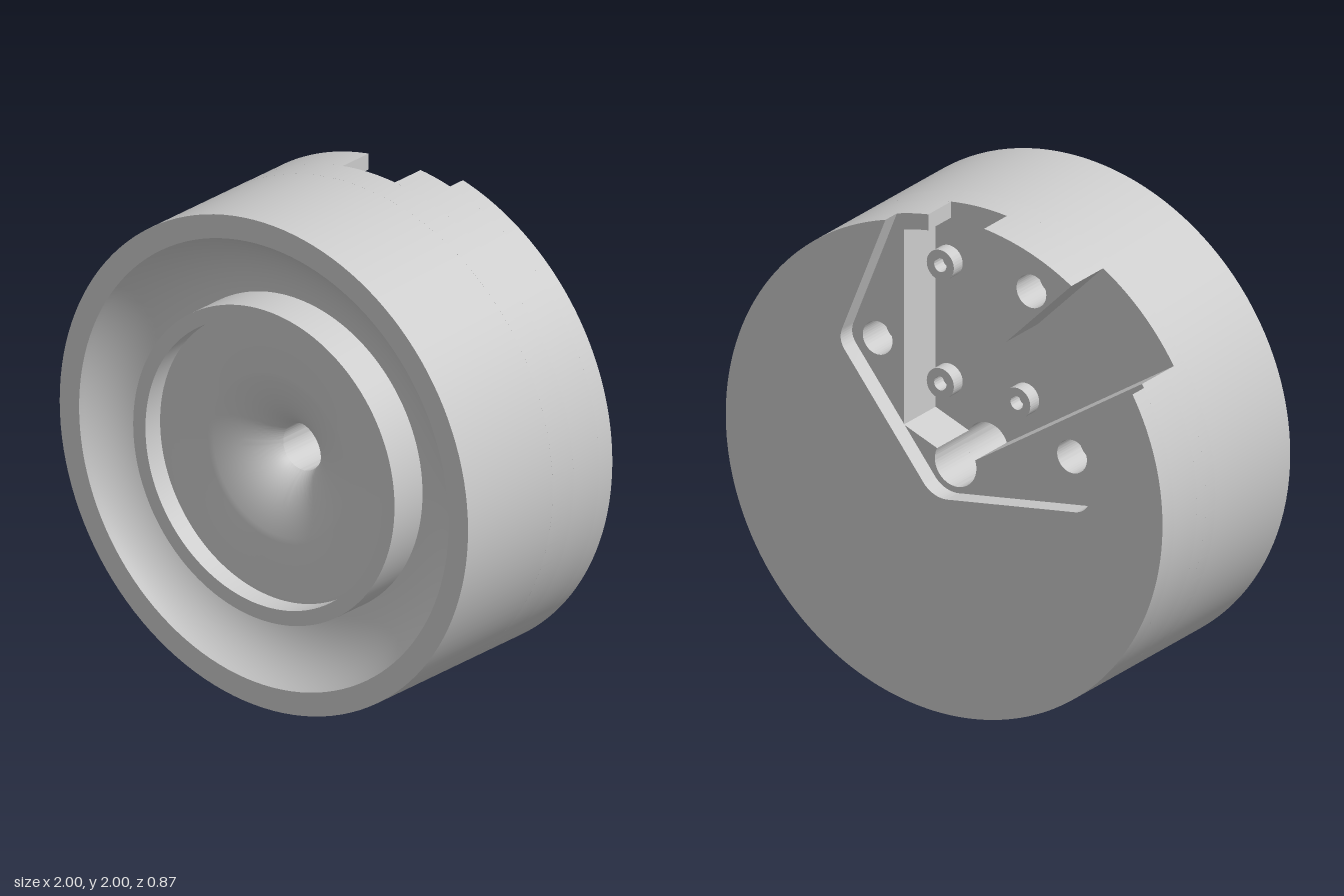
import * as THREE from 'three';
import { toCreasedNormals } from 'three/addons/utils/BufferGeometryUtils.js';

const deg = Math.PI / 180;
const HALF = 0.433;            // half depth of the drum
const LEDGE = -0.355;          // cover ledge
const WINDOW = -0.2;           // bottom of the rim window, boss tops
const FLOOR = -0.075;          // pocket floor
const SLAB = -0.14;            // where the turned front begins
const BORE = 0.095;            // centre hole radius
const INNER = 0.935;           // inside of the thin rim wall
const AXIS = 112;              // direction of the cover recess, degrees

const material = new THREE.MeshStandardMaterial({ color: 0xcccccc });

function addMesh(group, name, geometry) {
  const mesh = new THREE.Mesh(toCreasedNormals(geometry, 0.45), material);
  mesh.name = name;
  group.add(mesh);
  return mesh;
}

// Extrude shapes between two depths
function addSlab(group, name, shapes, z0, z1) {
  const g = new THREE.ExtrudeGeometry(shapes, { depth: z1 - z0, bevelEnabled: false, curveSegments: 96 });
  g.translate(0, 0, z0);
  return addMesh(group, name, g);
}

const arc = (s, r, from, to) => s.absarc(0, 0, r, from * deg, to * deg, to < from);

function hole(shape, x, y, r) {
  const p = new THREE.Path();
  p.absarc(x, y, r, 0, Math.PI * 2, true);
  shape.holes.push(p);
}

function disc(r, x = 0, y = 0) {
  const s = new THREE.Shape();
  s.absarc(x, y, r, 0, Math.PI * 2, false);
  return s;
}

// Angle of the point at a given x on a circle, upper half
const angleAt = (x, r) => Math.acos(x / r) / deg;

// Pocket walls: straight channel plus a side channel open at the rim
const RIGHT_RIM = 148.6, ISLAND_RIM = 122;
const WALL_X = 0.237, ISLAND_X = -0.23;

function islandSide(s) {
  s.lineTo(ISLAND_X, 0.55);
  s.lineTo(ISLAND_X, Math.sqrt(INNER ** 2 - ISLAND_X ** 2));
}
function lowerPocket(s) {
  s.lineTo(WALL_X, 0.105);
  arc(s, BORE, 27, -200);
  s.closePath();
}

// Pocket wall with the rim closed
function closedWall() {
  const s = new THREE.Shape();
  arc(s, 1, RIGHT_RIM, ISLAND_RIM + 360);
  islandSide(s);
  arc(s, INNER, angleAt(ISLAND_X, INNER), angleAt(WALL_X, INNER));
  lowerPocket(s);
  return s;
}

// Pocket wall with a window through the rim: main body and island
function windowWall() {
  const main = new THREE.Shape();
  arc(main, 1, RIGHT_RIM, angleAt(0.125, 1) + 360);
  arc(main, INNER, angleAt(0.125, INNER), angleAt(WALL_X, INNER));
  lowerPocket(main);
  const island = new THREE.Shape();
  arc(island, 1, angleAt(-0.13, 1), ISLAND_RIM);
  islandSide(island);
  arc(island, INNER, angleAt(ISLAND_X, INNER), angleAt(-0.13, INNER));
  island.closePath();
  return [main, island];
}

// Back plate with the house-shaped cover recess, symmetric about its own axis
function backPlate() {
  const turn = AXIS - 90, c = Math.cos(turn * deg), n = Math.sin(turn * deg);
  const at = (p, a) => [p * c - a * n, p * n + a * c];
  const w = 0.61, r = 0.12, tip = 0.05;
  const corner = -r / Math.cos(30 * deg) + w * Math.tan(30 * deg);
  const spread = Math.asin(w) / deg;
  const low = [w - tip * Math.cos(30 * deg), corner - tip * 0.5];
  const s = new THREE.Shape();
  arc(s, 1, AXIS + spread, AXIS - spread + 360);
  s.lineTo(...at(w, corner + tip));
  s.quadraticCurveTo(...at(w, corner), ...at(...low));
  arc(s, r, turn - 60, turn - 120);
  s.lineTo(...at(-low[0], low[1]));
  s.quadraticCurveTo(...at(-w, corner), ...at(-w, corner + tip));
  s.closePath();
  return s;
}

// Sampled curve for the turned profile
function bend(a, b, c) {
  return new THREE.QuadraticBezierCurve(
    new THREE.Vector2(...a), new THREE.Vector2(...b), new THREE.Vector2(...c)).getPoints(16);
}

export function createModel() {
  const model = new THREE.Group();
  model.name = 'drumHousing';
  const body = new THREE.Group();
  body.name = 'body';
  body.position.y = 1;
  model.add(body);

  // Turned front: rim, bowl, raised ring, recessed disc, flared throat and bore
  const profile = [
    new THREE.Vector2(BORE, SLAB),
    new THREE.Vector2(1, SLAB),
    new THREE.Vector2(1, HALF),
    ...bend([0.905, HALF], [0.812, 0.287], [0.64, 0.265]),
    new THREE.Vector2(0.64, HALF),
    new THREE.Vector2(0.58, HALF),
    new THREE.Vector2(0.58, 0.345),
    ...bend([0.345, 0.345], [0.15, 0.31], [BORE, 0.2]),
    new THREE.Vector2(BORE, SLAB),
  ];
  const front = new THREE.LatheGeometry(profile, 128);
  front.rotateX(Math.PI / 2);
  addMesh(body, 'turnedFront', front);

  // Pocket floor with the bore and two small blind holes
  const floor = disc(1);
  hole(floor, 0, 0, BORE);
  hole(floor, -0.472, 0.63, 0.033);
  hole(floor, -0.655, 0.445, 0.033);
  addSlab(body, 'pocketFloor', floor, SLAB, FLOOR);

  // Pocket walls with counterbored screw holes
  const lower = closedWall();
  const [main, island] = windowWall();
  for (const [x, y, upper] of [[0.357, 0.433, main], [-0.533, 0.15, main], [-0.347, 0.785, island]]) {
    hole(lower, x, y, 0.035);
    hole(upper, x, y, 0.068);
  }
  addSlab(body, 'pocketWall', lower, FLOOR - 0.125, FLOOR);
  addSlab(body, 'windowWall', [main, island], LEDGE, WINDOW);

  // Back plate around the cover recess
  addSlab(body, 'backPlate', backPlate(), -HALF, LEDGE);

  // Four hollow mounting bosses
  for (const x of [-0.175, 0.175]) {
    for (const y of [0.235, 0.72]) {
      const ring = disc(0.062, x, y);
      hole(ring, x, y, 0.028);
      addSlab(body, 'mountingBoss', ring, WINDOW, FLOOR);
    }
  }
  return model;
}
